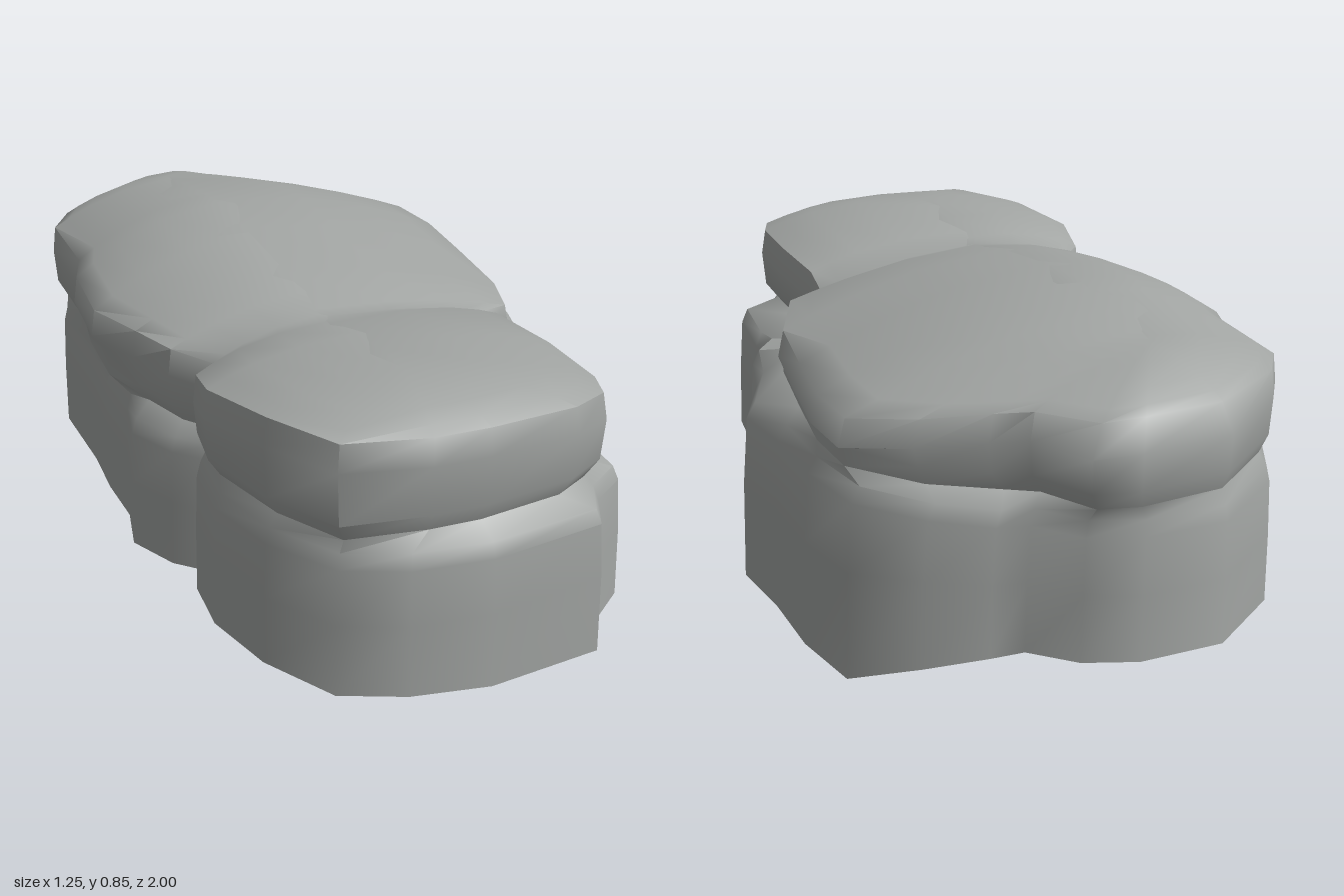
import * as THREE from 'three';
import { toCreasedNormals } from 'three/addons/utils/BufferGeometryUtils.js';

// Foot outline, front-left round by +x to the back and home: x, z, height of lower edge
const foot = [
  [-0.43, 0.88, 0.09], [-0.28, 0.96, 0.09], [-0.08, 1.0, 0.08], [0.23, 0.98, 0.07], [0.29, 0.88, 0.07],
  [0.385, 0.83, 0.1], [0.415, 0.58, 0.1], [0.4, 0.52, 0.1], [0.48, 0.4, 0.1], [0.53, 0.2, 0.08],
  [0.625, -0.02, 0.01], [0.595, -0.2, 0], [0.59, -0.42, 0], [0.55, -0.62, 0], [0.4, -0.73, 0.05],
  [0.26, -0.81, 0.09], [0.18, -0.83, 0.1], [0.09, -0.94, 0.11], [-0.04, -0.99, 0.11], [-0.26, -0.99, 0.11],
  [-0.48, -0.83, 0.1], [-0.54, -0.7, 0.1], [-0.55, -0.42, 0.1], [-0.57, -0.25, 0.1], [-0.575, -0.08, 0.1],
  [-0.615, 0.06, 0.1], [-0.56, 0.2, 0.1], [-0.49, 0.28, 0.1], [-0.55, 0.34, 0.1], [-0.57, 0.5, 0.1], [-0.53, 0.7, 0.1],
];
// Overhanging cap outline, matching the foot point by point: x, z, height of upper rim
const cap = [
  [-0.43, 0.89, 0.75], [-0.22, 0.94, 0.74], [-0.08, 0.955, 0.74], [0.16, 0.94, 0.73], [0.27, 0.89, 0.72],
  [0.3, 0.81, 0.72], [0.31, 0.6, 0.72], [0.3, 0.37, 0.71], [0.3, 0.29, 0.68], [0.4, 0.26, 0.67],
  [0.48, 0.08, 0.65], [0.52, -0.18, 0.65], [0.55, -0.4, 0.65], [0.54, -0.57, 0.65], [0.4, -0.69, 0.67],
  [0.25, -0.77, 0.69], [0.17, -0.82, 0.7], [0.09, -0.97, 0.7], [-0.02, -1.0, 0.71], [-0.26, -0.98, 0.71],
  [-0.47, -0.82, 0.71], [-0.54, -0.72, 0.71], [-0.56, -0.45, 0.71], [-0.6, -0.36, 0.7], [-0.625, -0.15, 0.69],
  [-0.58, 0.04, 0.7], [-0.54, 0.18, 0.7], [-0.47, 0.28, 0.69], [-0.54, 0.34, 0.7], [-0.57, 0.48, 0.73], [-0.52, 0.7, 0.75],
];
// Crest from back to front, dipping at the groove between the two slabs: z, y
const crest = [[-1, 0.76], [-0.75, 0.8], [-0.55, 0.83], [-0.32, 0.85], [0.1, 0.8], [0.23, 0.775], [0.3, 0.757], [0.38, 0.78], [0.55, 0.803], [0.8, 0.795]];
const CREST_X = -0.17;
const { lerp, clamp, smoothstep } = THREE.MathUtils;

const crestY = z => {
  const k = crest.findIndex(p => z <= p[0]);
  const [z0, y0] = crest[k - 1], [z1, y1] = crest[k];
  return lerp(y0, y1, (z - z0) / (z1 - z0));
};
// Moves an outline point the fraction t of the way in to the crest line
const inset = ([x, z], t) => {
  const cz = clamp(z, -0.75, 0.7);
  return [x + (CREST_X - x) * t, z + (cz - z) * t, cz];
};

function column(f, c) {
  const pts = [];
  const add = (p, t, y) => {
    const [x, z] = inset(p, t);
    pts.push([x, y, z]);
  };
  // the +x flank runs down into the skirt with hardly any undercut; the -x lip is deeply undercut
  const soft = smoothstep(c[0], 0.32, 0.46);
  const lip = smoothstep(-c[0], 0.57, 0.62);
  const ledge = 0.465 + 0.035 * smoothstep(f[0], 0.3, 0.6);
  // upright skirt and its ledge
  add(f, 0, f[2]);
  add(f, 0.01, 0.28);
  add(f, 0.03, ledge - 0.04);
  add(f, 0.06, ledge);
  // recessed neck, then the bulging side of the cap
  const rim = 0.025 + 0.12 * smoothstep(-c[1], 0.8, 0.96);
  add(c, lerp(0.09, 0.02, soft), ledge + 0.035);
  add(c, lerp(0.018, 0.09, lip), ledge + 0.08 + 0.025 * lip);
  add(c, 0, c[2] - 0.07);
  add(c, rim, c[2]);
  // domed top, fuller over the front slab and the -x side; ends tucked under the crest
  const fullness = c[1] > 0.3 ? 2.8 : c[0] < -0.4 ? 2 : 1.7;
  for (const s of [0.12, 0.3, 0.6, 1]) {
    const [x, z, cz] = inset(c, lerp(rim, 1, s));
    pts.push([x, lerp(c[2], crestY(cz), 1 - Math.pow(1 - s, fullness)), z]);
  }
  add(c, 1.12, crestY(inset(c, 1)[2]) - 0.012);
  return pts;
}

// Skins rows [from, to] of the columns into a closed band
function band(columns, from, to) {
  const pos = [], idx = [], rows = to - from + 1, n = columns.length;
  columns.forEach(col => col.slice(from, to + 1).forEach(p => pos.push(...p)));
  for (let i = 0; i < n; i++) {
    const k = (i + 1) % n;
    for (let j = 0; j < rows - 1; j++) {
      const a = i * rows + j, b = k * rows + j;
      idx.push(a, b, b + 1, a, b + 1, a + 1);
    }
  }
  const g = new THREE.BufferGeometry();
  g.setAttribute('position', new THREE.Float32BufferAttribute(pos, 3));
  g.setIndex(idx);
  return toCreasedNormals(g, 0.95);
}

export function createModel() {
  const group = new THREE.Group();
  group.name = 'rock';
  const stone = new THREE.MeshStandardMaterial({ color: 0xa2a5a3, side: THREE.DoubleSide });
  const columns = foot.map((f, i) => column(f, cap[i]));
  // hollow rock, open underneath: a lower skirt and an overhanging cap
  for (const [name, from, to] of [['rockSkirt', 0, 4], ['rockCap', 4, 12]]) {
    const mesh = new THREE.Mesh(band(columns, from, to), stone);
    mesh.name = name;
    group.add(mesh);
  }
  return group;
}
